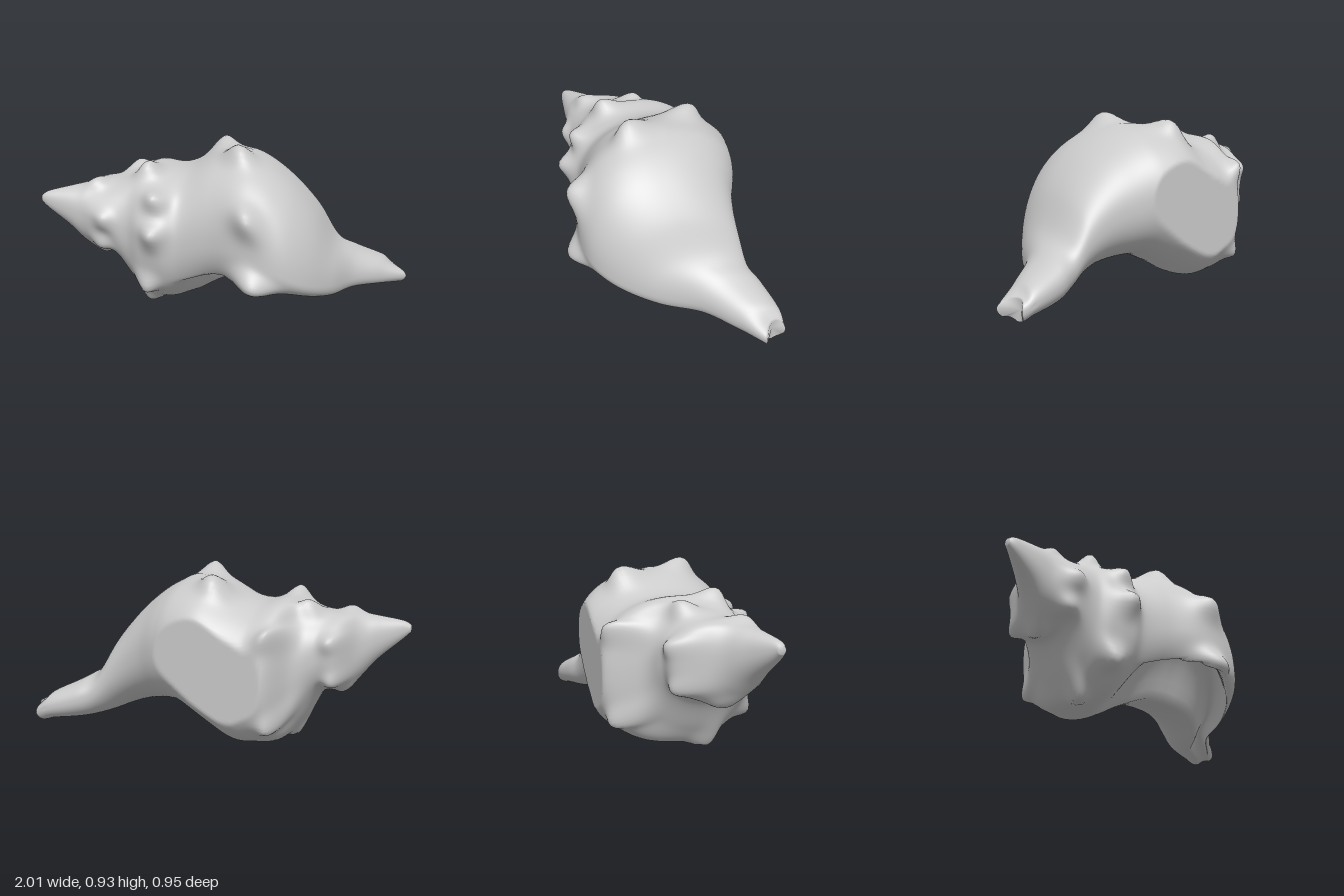
import * as THREE from 'three';

// Shell sections along x: [x, top, bottom, front z, back z, height of the widest front point]
const SECTIONS = [
  [-1.0, 0.63, 0.59, 0.225, 0.185, 0.61],
  [-0.96, 0.652, 0.55, 0.237, 0.155, 0.6],
  [-0.85, 0.675, 0.45, 0.245, 0.06, 0.565],
  [-0.77, 0.69, 0.36, 0.25, -0.03, 0.54],
  [-0.7, 0.705, 0.31, 0.265, -0.2, 0.52],
  [-0.6, 0.715, 0.28, 0.275, -0.24, 0.5],
  [-0.5, 0.75, 0.12, 0.28, -0.3, 0.46],
  [-0.42, 0.785, 0.03, 0.315, -0.47, 0.43],
  [-0.3, 0.77, 0.01, 0.335, -0.52, 0.42],
  [-0.2, 0.79, 0.02, 0.31, -0.54, 0.42],
  [-0.05, 0.86, 0.105, 0.335, -0.55, 0.44],
  [0.1, 0.87, 0.17, 0.39, -0.51, 0.44],
  [0.2, 0.84, 0.175, 0.41, -0.47, 0.42],
  [0.3, 0.78, 0.16, 0.41, -0.425, 0.36],
  [0.4, 0.69, 0.14, 0.375, -0.4, 0.3],
  [0.5, 0.56, 0.11, 0.28, -0.395, 0.24],
  [0.6, 0.37, 0.075, 0.12, -0.41, 0.19],
  [0.7, 0.29, 0.06, -0.09, -0.45, 0.16],
  [0.85, 0.215, 0.05, -0.235, -0.48, 0.13],
  [0.97, 0.15, 0.04, -0.35, -0.475, 0.1],
];

// Knobs of each whorl: [x, angle in degrees from front towards top]
const WHORLS = [
  { height: 0.075, radius: 0.1, knobs: [[0.08, 74], [-0.08, 109], [0.18, 21]] },
  { height: 0.12, radius: 0.14, knobs: [[0.21, -32]] },
  {
    height: 0.065, radius: 0.08,
    knobs: [[-0.42, 68], [-0.34, 36], [-0.34, 7], [-0.39, -34], [-0.44, -75], [-0.54, 110], [-0.43, 148], [-0.45, 215]],
  },
  {
    height: 0.038, radius: 0.07,
    knobs: [[-0.63, 5], [-0.65, -35], [-0.7, -85], [-0.7, 65], [-0.68, 160], [-0.69, 215]],
  },
];

const RINGS = 150;
const SIDES = 120;
const BACK_CUT = -0.48;
const { degToRad, smoothstep } = THREE.MathUtils;

// Rounded quadrant: slightly boxier than an ellipse
const soft = (v) => Math.sign(v) * Math.abs(v) ** 0.9;

function knobHeight(x, angle, sectionRadius) {
  let sum = 0;
  for (const { height, radius, knobs } of WHORLS) {
    for (const [kx, deg] of knobs) {
      const turn = angle - degToRad(deg);
      const arc = Math.atan2(Math.sin(turn), Math.cos(turn)) * sectionRadius;
      sum += height * Math.exp((-1.6 * ((x - kx) ** 2 + arc ** 2)) / radius ** 2);
    }
  }
  return sum;
}

// Hollow of the aperture between columella and outer lip: 0 outside, 1 at its deepest
function hollowAt(x, angle) {
  const columella = degToRad(-86);
  const lip = degToRad(-30 - 9 * smoothstep(x, -0.1, 0.3));
  const u = (angle - columella) / (lip - columella);
  if (u <= 0 || u >= 1) return 0;
  const along = smoothstep(x, -0.32, 0.1) * (1 - 0.95 * smoothstep(x, 0.2, 0.95));
  return along * Math.sin(Math.PI * u) ** 0.8;
}

function shellGeometry() {
  // One smooth curve for each column of the section table
  const curves = [1, 2, 3, 4, 5].map(
    (c) => new THREE.SplineCurve(SECTIONS.map((row) => new THREE.Vector2(row[0], row[c])))
  );
  const positions = [];
  const index = [];

  for (let i = 0; i <= RINGS; i++) {
    const points = curves.map((c) => c.getPoint(i / RINGS));
    const x = points[0].x;
    const [top, bottom, front, back, frontY] = points.map((p) => p.y);
    const cz = (front + back) / 2;
    const rz = (front - back) / 2;
    for (let j = 0; j < SIDES; j++) {
      const a = (j / SIDES) * Math.PI * 2 - Math.PI / 2;
      const sin = Math.sin(a), cos = Math.cos(a);
      // The front bulges low towards the lip, the back is evenly round
      const cy = cos > 0 ? frontY : (top + bottom) / 2;
      const dz = soft(cos) * rz;
      const dy = soft(sin) * (sin > 0 ? top - cy : cy - bottom);
      const r = Math.hypot(dz, dy);
      const hollow = hollowAt(x, a);
      const grow = 1 + ((1 - hollow) * knobHeight(x, a, r)) / Math.max(r, 0.05);
      // Forked end of the siphonal canal
      const fork = (0.03 * cos - 0.045 * sin * sin) * smoothstep(x, 0.85, 0.97);
      positions.push(
        x + fork,
        Math.max(cy + dy * grow + 0.25 * hollow, 0),
        Math.max(cz + dz * grow, BACK_CUT)
      );
    }
  }
  for (let i = 0; i < RINGS; i++) {
    for (let j = 0; j < SIDES; j++) {
      const k = (j + 1) % SIDES;
      const a = i * SIDES + j, b = a + SIDES;
      const d = i * SIDES + k, c = d + SIDES;
      index.push(a, b, c, a, c, d);
    }
  }
  // Apex of the spire and inner end of the canal
  const apex = positions.length / 3;
  const last = RINGS * SIDES;
  positions.push(-1.005, 0.61, 0.205, 0.91, 0.095, -0.415);
  for (let j = 0; j < SIDES; j++) {
    const k = (j + 1) % SIDES;
    index.push(apex, j, k, apex + 1, last + k, last + j);
  }

  const geometry = new THREE.BufferGeometry();
  geometry.setAttribute('position', new THREE.Float32BufferAttribute(positions, 3));
  geometry.setIndex(index);
  geometry.computeVertexNormals();
  return geometry;
}

export function createModel() {
  const group = new THREE.Group();
  group.name = 'seaShell';
  const material = new THREE.MeshStandardMaterial({ color: 0xcccccc, side: THREE.DoubleSide });
  const shell = new THREE.Mesh(shellGeometry(), material);
  shell.name = 'shellBody';
  group.add(shell);
  return group;
}
